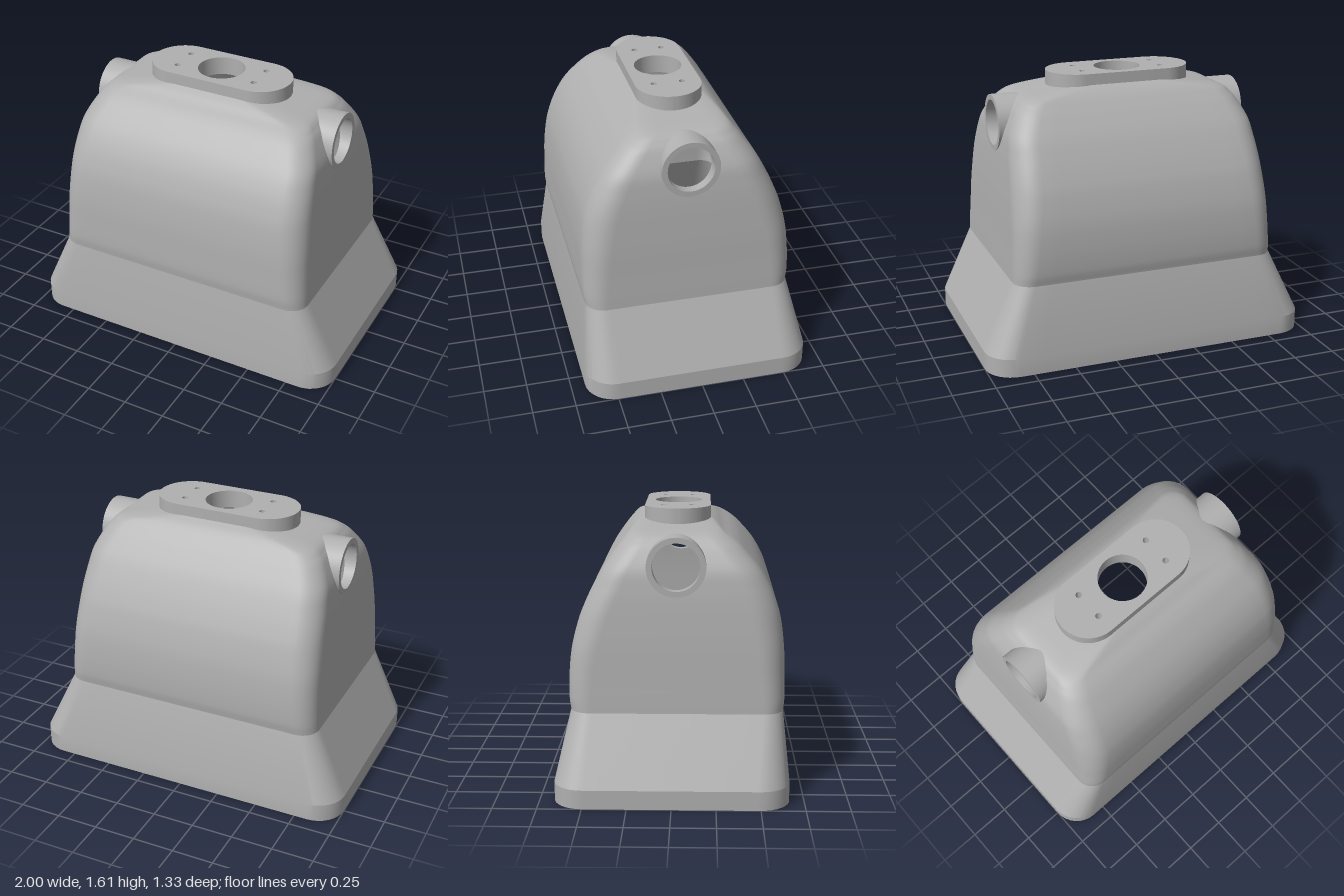
import * as THREE from 'three';
import { toCreasedNormals } from 'three/addons/utils/BufferGeometryUtils.js';

const PORT = { y: 1.325, z: 0.022, outer: 0.167, inner: 0.135, tip: 0.775 };
const WALL = 0.04;

// housing stations: y, half width, front z, back z, corner radius
const STATIONS = [
  [0.5, 0.814, 0.63, -0.577, 0.11],
  [0.57, 0.811, 0.638, -0.587, 0.12],
  [0.7, 0.804, 0.637, -0.587, 0.13],
  [0.85, 0.797, 0.632, -0.572, 0.14],
  [1.0, 0.787, 0.615, -0.535, 0.15],
  [1.1, 0.779, 0.59, -0.497, 0.15],
  [1.2, 0.768, 0.55, -0.45, 0.15],
  [1.3, 0.75, 0.49, -0.395, 0.14],
  [1.4, 0.705, 0.405, -0.325, 0.13],
  [1.45, 0.67, 0.35, -0.285, 0.12],
  [1.49, 0.615, 0.29, -0.25, 0.11],
  [1.52, 0.46, 0.25, -0.215, 0.1],
  [1.545, 0.28, 0.21, -0.17, 0.08],
];

// rounded rectangle at height y, with finely divided side walls
function ring(y, hx, zf, zb, r) {
  const centres = [[hx - r, zf - r], [r - hx, zf - r], [r - hx, zb + r], [hx - r, zb + r]];
  const at = (k, a) => [centres[k][0] + r * Math.cos(a), centres[k][1] + r * Math.sin(a)];
  const pts = [];
  for (let k = 0; k < 4; k++) {
    const a0 = k * Math.PI / 2, a1 = a0 + Math.PI / 2;
    for (let i = 0; i < 8; i++) {
      const [x, z] = at(k, a0 + (a1 - a0) * i / 8);
      pts.push([x, y, z]);
    }
    const p = at(k, a1), q = at((k + 1) % 4, a1), n = k % 2 ? 60 : 12;
    for (let i = 0; i < n; i++) {
      const t = i / n;
      pts.push([p[0] + (q[0] - p[0]) * t, y, p[1] + (q[1] - p[1]) * t]);
    }
  }
  return pts;
}

// skin a list of closed rings; skip(a, b, c) may leave triangles out
function loft(rings, crease, skip = () => false) {
  const n = rings[0].length, pts = rings.flat(), index = [];
  const add = (...t) => { if (!skip(...t.map(i => pts[i]))) index.push(...t); };
  for (let i = 0; i < rings.length - 1; i++) {
    for (let j = 0; j < n; j++) {
      const k = (j + 1) % n;
      const a = i * n + j, b = i * n + k, c = a + n, d = b + n;
      add(a, c, b);
      add(b, c, d);
    }
  }
  const g = new THREE.BufferGeometry();
  g.setAttribute('position', new THREE.Float32BufferAttribute(pts.flat(), 3));
  g.setIndex(index);
  return toCreasedNormals(g, crease);
}

const inPort = (...t) => {
  const mean = i => (t[0][i] + t[1][i] + t[2][i]) / 3;
  return Math.abs(mean(0)) > 0.4 && Math.hypot(mean(1) - PORT.y, mean(2) - PORT.z) < 0.151;
};

// smooth rings through the stations, optionally inset for the inner skin
function housingRings(inset) {
  const curve = f => new THREE.CatmullRomCurve3(STATIONS.map(f), false, 'catmullrom', 0.5);
  const front = curve(s => new THREE.Vector3(s[1], s[0], s[2]));
  const back = curve(s => new THREE.Vector3(s[4], s[0], s[3]));
  const steps = (STATIONS.length - 1) * 8, rings = [];
  for (let i = 0; i <= steps; i++) {
    const t = i / steps, f = front.getPoint(t), b = back.getPoint(t);
    const d = inset * (1 - t ** 6);
    const y = inset ? 0.5 + (f.y - 0.5) * 0.97 : f.y;
    rings.push(ring(y, f.x - d, f.z - d, b.z + d, b.x - d * 0.6));
  }
  return rings;
}

// half width of the housing at height y
function halfWidth(y) {
  const i = Math.max(1, STATIONS.findIndex(s => s[0] >= y));
  const [a, b] = [STATIONS[i - 1], STATIONS[i]];
  return a[1] + (b[1] - a[1]) * (y - a[0]) / (b[0] - a[0]);
}

// side port whose buried end follows the wall
function portGeometry() {
  const circle = (r, atTip) => Array.from({ length: 64 }, (_, i) => {
    const a = i / 64 * Math.PI * 2, y = PORT.y + r * Math.cos(a);
    const x = atTip ? PORT.tip : Math.min(halfWidth(y) - WALL - 0.01, PORT.tip - 0.01);
    return [x, y, PORT.z + r * Math.sin(a)];
  });
  const { inner, outer } = PORT;
  return loft([circle(inner, false), circle(inner, true), circle(outer, true),
    circle(outer, false), circle(inner, false)], 0.5);
}

function hole(x, y, r) {
  return new THREE.Path().absarc(x, y, r, 0, Math.PI * 2, true);
}

// horizontal slab from a plan shape, rising from y = 0
function slab(shape, depth) {
  const g = new THREE.ExtrudeGeometry(shape, { depth, bevelEnabled: false, curveSegments: 32 });
  g.rotateX(-Math.PI / 2);
  return toCreasedNormals(g, 0.5);
}

export function createModel() {
  const group = new THREE.Group();
  group.name = 'housing';
  const grey = new THREE.MeshStandardMaterial({ color: 0xb0b0b0, side: THREE.DoubleSide });
  grey.name = 'grey';
  const add = (name, geometry, x = 0, y = 0, z = 0) => {
    const m = new THREE.Mesh(geometry, grey);
    m.name = name;
    m.position.set(x, y, z);
    group.add(m);
    return m;
  };

  // flared skirt, hollow, with a stepped lip under the rim
  const foot = (y, d) => ring(y, 1 - d, 0.667 - d, -0.667 + d, 0.17 - d * 0.6);
  const [y0, hx, zf, zb, r] = STATIONS[0];
  const waist = d => ring(y0, hx - d, zf - d, zb + d, r - d * 0.6);
  add('skirt', loft([waist(WALL), foot(0.11, WALL), foot(0.03, WALL), foot(0.03, 0.02),
    foot(0, 0.02), foot(0, 0), foot(0.11, 0), waist(0)], 0.3));

  // domed body, outer and inner skins
  add('bodyOuter', loft(housingRings(0), 0.4, inPort));
  add('bodyInner', loft(housingRings(WALL).reverse(), 0.4, inPort));

  // side ports
  const port = portGeometry();
  add('leftPort', port);
  add('rightPort', port).scale.x = -1;

  // mounting plate on top with a bore and four screw holes
  const plate = new THREE.Shape();
  plate.absarc(0.25, 0, 0.193, -Math.PI / 2, Math.PI / 2, false);
  plate.absarc(-0.25, 0, 0.193, Math.PI / 2, Math.PI * 1.5, false);
  plate.holes.push(hole(0, 0, 0.14));
  for (const sx of [-1, 1]) for (const sy of [-1, 1]) {
    plate.holes.push(hole(sx * 0.25, sy * 0.083, 0.018));
  }
  add('topPlate', slab(plate, 0.11), -0.01, 1.5, 0.022);

  // drilled tabs inside the front wall
  const tab = new THREE.Shape();
  tab.moveTo(-0.11, -0.03);
  tab.lineTo(0.11, -0.03);
  tab.absarc(0, 0.08, 0.05, 0.3, Math.PI - 0.3, false);
  tab.holes.push(hole(0, 0.075, 0.018));
  const tabGeometry = slab(tab, 0.05);
  for (const s of [-1, 1]) add('innerTab', tabGeometry, s * 0.29, 0.58, 0.585);

  return group;
}
